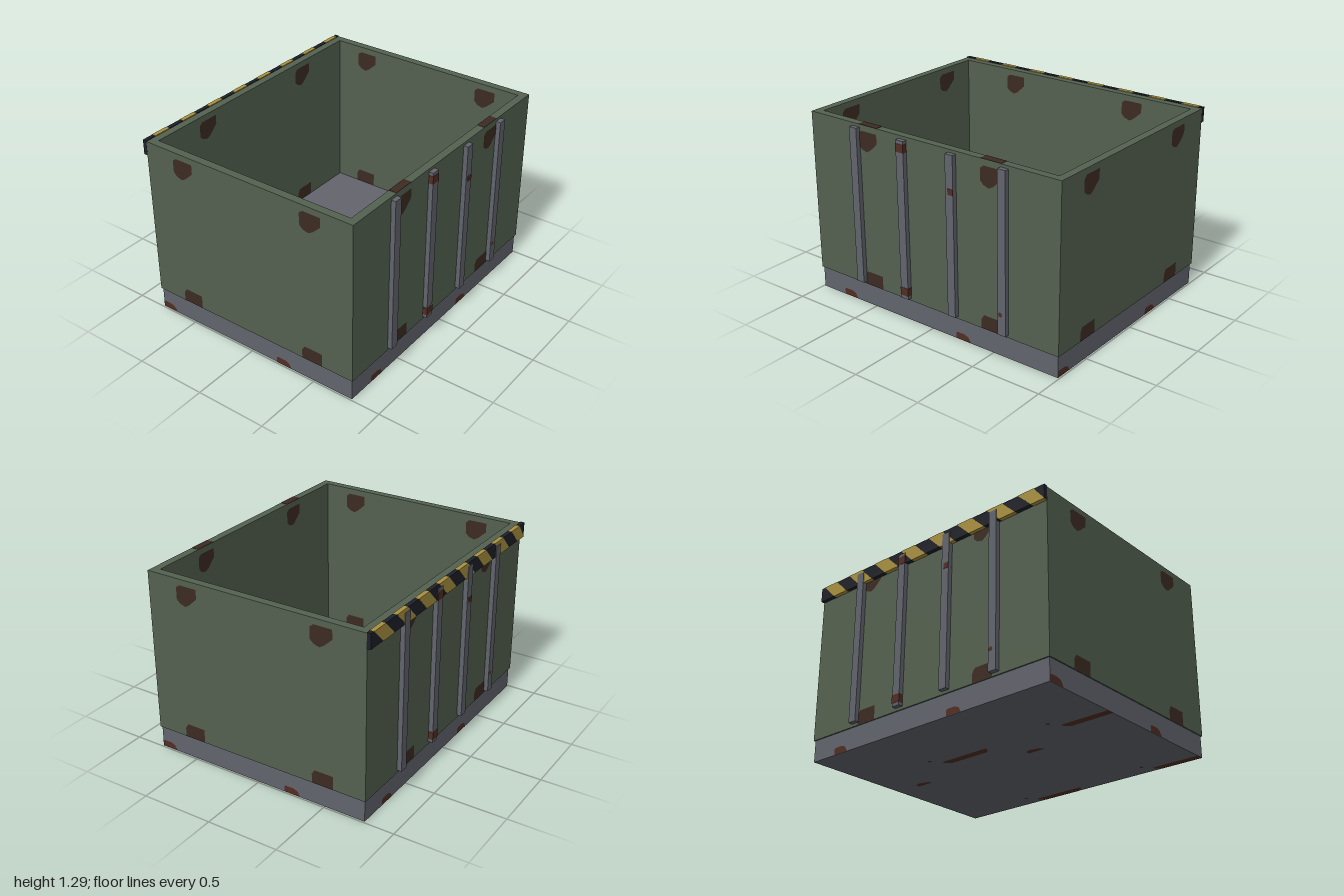
import * as THREE from 'three';

const mat = (name, color) => {
  const m = new THREE.MeshStandardMaterial({ color });
  m.name = name;
  return m;
};

export function createModel() {
  const green = mat('green paint', 0x546150);
  const grey = mat('grey steel', 0x62646c);
  const rust = mat('rust', 0x522d23);
  const darkRust = mat('dark rust', 0x3c2b22);
  const yellow = mat('hazard yellow', 0xa9913f);
  const black = mat('hazard black', 0x1f2129);

  const model = new THREE.Group();
  model.name = 'openContainer';

  const add = (parent, name, geo, material, x = 0, y = 0, z = 0) => {
    const mesh = new THREE.Mesh(geo, material);
    mesh.name = name;
    mesh.position.set(x, y, z);
    parent.add(mesh);
    return mesh;
  };
  const box = (parent, name, material, w, h, d, x, y, z) =>
    add(parent, name, new THREE.BoxGeometry(w, h, d), material, x, y, z);
  const outline = (pts) => new THREE.Shape(pts.map(([x, y]) => new THREE.Vector2(x, y)));
  // flat patch facing +z of its parent
  const patch = (parent, name, material, pts, dx, z) =>
    add(parent, name, new THREE.ShapeGeometry(outline(pts)), material, dx, 0, z);
  const rect = (w, d) => [[-w, -d], [w, -d], [w, d], [-w, d]];

  // base slab
  box(model, 'base', grey, 1.98, 0.15, 1.582, 0, 0.075, 0);

  // four walls as one open frame
  const frame = outline(rect(0.998, 0.8));
  frame.holes.push(new THREE.Path(rect(0.943, 0.745).map(([x, y]) => new THREE.Vector2(x, y))));
  const wallGeo = new THREE.ExtrudeGeometry(frame, { depth: 1.13, bevelEnabled: false });
  wallGeo.rotateX(-Math.PI / 2);
  add(model, 'walls', wallGeo, green, 0, 0.15, 0);

  // rust outlines, repeated along every side
  const upper = [[-0.575, 1.22], [-0.55, 1.24], [-0.42, 1.24], [-0.42, 1.175],
    [-0.48, 1.12], [-0.51, 1.103], [-0.55, 1.115], [-0.575, 1.14]];
  const lower = [[-0.575, 0.152], [-0.42, 0.152], [-0.42, 0.247], [-0.555, 0.247], [-0.575, 0.215]];
  const foot = [[-0.79, 0.002], [-0.67, 0.002], [-0.69, 0.035], [-0.72, 0.048], [-0.78, 0.048], [-0.79, 0.04]];
  for (let i = 0; i < 4; i++) {
    const side = new THREE.Group();
    side.name = 'sideRust';
    side.rotation.y = i * Math.PI / 2;
    model.add(side);
    const onEnd = i % 2 === 1;
    const outer = onEnd ? 0.998 : 0.8;
    for (const dx of [0, 0.99]) {
      for (const pts of [upper, lower]) {
        patch(side, 'outerWallRust', darkRust, pts, dx, outer + 0.002);
        patch(side, 'innerWallRust', darkRust, pts, dx, -outer + 0.057);
      }
      patch(side, 'baseRust', rust, foot, dx, (onEnd ? 0.99 : 0.791) + 0.002);
    }
  }

  // rust on the front rim
  for (const x of [-0.497, 0.493])
    box(model, 'rimRust', darkRust, 0.155, 0.004, 0.055, x, 1.28, 0.7725);

  // upright ribs on front and back
  for (const turn of [0, Math.PI]) {
    const ribs = new THREE.Group();
    ribs.name = turn ? 'backRibs' : 'frontRibs';
    ribs.rotation.y = turn;
    model.add(ribs);
    for (let i = 0; i < 4; i++)
      box(ribs, 'rib', grey, 0.06, 1.09, 0.032, -0.597 + i * 0.397, 0.715, 0.816);
    for (const y of [1.21, 0.22])
      box(ribs, 'ribRust', rust, 0.064, 0.056, 0.032, -0.2, y, 0.818);
    box(ribs, 'ribRust', rust, 0.042, 0.04, 0.032, 0.206, 1.02, 0.818);
    add(ribs, 'ribRustSpot', new THREE.CircleGeometry(0.016, 10), rust, 0.585, 0.312, 0.834);
  }

  // striped warning bar along the top of the back wall
  box(model, 'warningBar', black, 1.998, 0.102, 0.028, 0, 1.234, -0.812);
  const low = 1.182, high = 1.286, slant = 0.104;
  for (let i = 0; i < 8; i++) {
    const a = -0.917 + i * 0.2515, b = a + 0.125;
    const stripe = outline([[Math.max(a - slant, -1), low], [b - slant, low], [b, high], [a, high]]);
    const geo = new THREE.ExtrudeGeometry(stripe, { depth: 0.031, bevelEnabled: false });
    add(model, 'warningStripe', geo, yellow, 0, 0, -0.828);
  }

  // rust on the floor and the underside, given as x and z
  const streak = [[-0.035, -0.25], [0.345, -0.25], [0.345, -0.23], [0.31, -0.195], [0, -0.195], [-0.035, -0.235]];
  const blot = [[0.67, -0.003], [0.69, -0.03], [0.76, -0.05], [0.8, -0.035], [0.8, -0.003]];
  for (const under of [false, true]) {
    const sheet = new THREE.Group();
    sheet.name = under ? 'undersideRust' : 'floorRust';
    sheet.rotation.x = under ? Math.PI / 2 : -Math.PI / 2;
    sheet.position.y = under ? -0.001 : 0.153;
    model.add(sheet);
    const lay = (pts, dx, dz) => patch(sheet, 'rustPatch', rust,
      pts.map(([x, z]) => [Math.max(x + dx, under ? -0.99 : -0.943), (under ? 1 : -1) * (z + dz)]), 0, 0);
    for (const dx of [0, -0.99]) {
      lay(streak, dx, 0);
      lay(blot, dx, 0);
      if (under) lay(streak, dx, 0.985);
      for (const z of [-0.31, 0.68])
        add(sheet, 'rustSpot', new THREE.CircleGeometry(0.014, 10), rust, 0.4 + dx, under ? z : -z, 0);
    }
  }

  return model;
}
